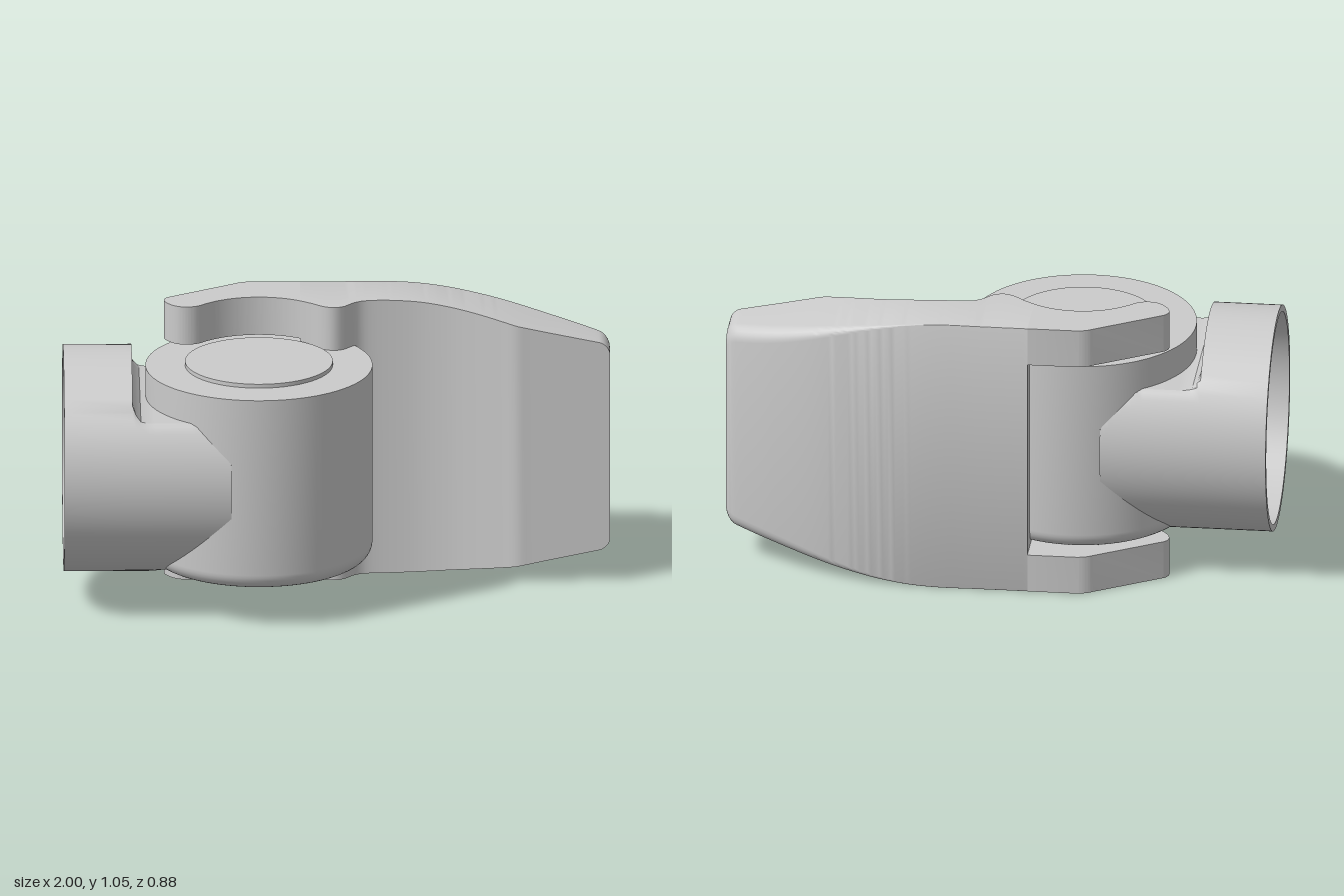
import * as THREE from 'three';
import { toCreasedNormals } from 'three/addons/utils/BufferGeometryUtils.js';

const AX = -0.285, AZ = 0.02; // hinge axis of the drum
const PIPE_Y = 0.53, MID_Y = 0.525;

// Skin between closed rings running along x, with both ends capped
function loft(rings) {
  const pos = [], n = rings[0].length;
  const tri = (...pts) => pts.forEach((p) => pos.push(p.x, p.y, p.z));
  for (let i = 0; i < rings.length - 1; i++) {
    for (let k = 0; k < n; k++) {
      const a = rings[i][k], b = rings[i][(k + 1) % n];
      const c = rings[i + 1][(k + 1) % n], d = rings[i + 1][k];
      tri(a, b, c);
      tri(a, c, d);
    }
  }
  const cap = (ring, flip) => {
    const c = new THREE.Vector3();
    ring.forEach((p) => c.addScaledVector(p, 1 / n));
    ring.forEach((p, k) => {
      const q = ring[(k + 1) % n];
      flip ? tri(c, q, p) : tri(c, p, q);
    });
  };
  cap(rings[0], true);
  cap(rings[rings.length - 1], false);
  const g = new THREE.BufferGeometry();
  g.setAttribute('position', new THREE.Float32BufferAttribute(pos, 3));
  return g;
}

// Smooth curve through points, read as a height over x
function curveOverX(points) {
  const pts = new THREE.SplineCurve(points.map((p) => new THREE.Vector2(...p))).getPoints(200);
  return (x) => {
    let i = 1;
    while (i < pts.length - 1 && pts[i].x < x) i++;
    const a = pts[i - 1], b = pts[i];
    const t = THREE.MathUtils.clamp((x - a.x) / (b.x - a.x || 1), 0, 1);
    return a.y + (b.y - a.y) * t;
  };
}

// Pipe ring, optionally flattened above and below
function pipeRing([x, r, lo = 0, hi = 2]) {
  return Array.from({ length: 96 }, (_, k) => {
    const a = (k / 96) * Math.PI * 2;
    const y = THREE.MathUtils.clamp(PIPE_Y + r * Math.cos(a), lo, hi);
    return new THREE.Vector3(x, y, AZ + r * Math.sin(a));
  });
}

function pipeGeometry() {
  const R = 0.415;
  const rows = [
    [-0.78, 0.39], [-1, 0.39], [-1, R], [-0.75, R], // socket and outer wall
    [-0.75, R, 0.115, 0.83], [-0.738, R, 0.115, 0.796], // step down to the neck
    [-0.72, R, 0.117, 0.776], [-0.69, R, 0.125, 0.77],
    [-0.67, R, 0.14, 0.77], [-0.64, R, 0.15, 0.77],
  ];
  for (let i = 0; i <= 12; i++) { // rounded end of the neck
    const a = (i / 12) * Math.PI / 2;
    rows.push([-0.54 + 0.15 * Math.sin(a), R, 0.15, 0.62 + 0.15 * Math.cos(a)]);
  }
  return loft(rows.map(pipeRing));
}

function drumGeometry() {
  const pts = [new THREE.Vector2(0, 0.15)];
  for (let i = 0; i <= 8; i++) {
    const a = (i / 8) * Math.PI / 2;
    pts.push(new THREE.Vector2(0.355 + 0.06 * Math.sin(a), 0.21 - 0.06 * Math.cos(a)));
  }
  pts.push(new THREE.Vector2(0.415, 0.885), new THREE.Vector2(0, 0.885));
  return new THREE.LatheGeometry(pts, 96);
}

// Lever blade: rounded sections that narrow towards the free end
function bladeGeometry() {
  const back = curveOverX([[-0.13, -0.445], [0.1, -0.445], [0.34, -0.445], [0.48, -0.435],
    [0.65, -0.405], [0.82, -0.35], [0.96, -0.285], [1, -0.25]]);
  const front = curveOverX([[-0.13, -0.219], [-0.09, -0.19], [-0.05, -0.155], [-0.01, -0.14],
    [0.03, -0.155], [0.07, -0.2], [0.13, -0.22], [0.28, -0.22], [0.4, -0.2], [0.5, -0.167],
    [0.6, -0.125], [0.66, -0.101], [0.72, -0.1], [1, -0.1]]);
  const half = curveOverX([[-0.13, 0.525], [0.05, 0.525], [0.2, 0.525], [0.35, 0.515],
    [0.55, 0.485], [0.8, 0.433], [0.96, 0.4], [1, 0.392]]);
  const xs = Array.from({ length: 75 }, (_, i) => -0.13 + (i / 74) * 1.09);
  for (let i = 1; i <= 8; i++) xs.push(0.96 + 0.04 * Math.sin((i / 8) * Math.PI / 2));
  return loft(xs.map((x) => {
    const e = Math.max(0, x - 0.96) / 0.04;
    const h = half(x) - 0.04 * (1 - Math.sqrt(Math.max(0, 1 - e * e)));
    const f = front(x), b = back(x);
    const r = 0.002 + 0.05 * THREE.MathUtils.smoothstep(x, 0.2, 0.9); // growing edge rounding
    const ring = [[h, f], [-h, f]];
    for (const s of [-1, 1]) {
      for (let i = 0; i <= 6; i++) {
        const a = ((s < 0 ? i : 6 - i) / 6) * Math.PI / 2;
        ring.push([s * (h - r + r * Math.cos(a)), b + r - r * Math.sin(a)]);
      }
    }
    return ring.map(([y, z]) => new THREE.Vector3(x, MID_Y + y, z));
  }));
}

// Fork arm: flat hook whose inner edge follows the cap
function armGeometry() {
  const s = new THREE.Shape();
  s.moveTo(-0.13, -0.445);
  s.lineTo(-0.31, -0.445);
  s.quadraticCurveTo(-0.345, -0.442, -0.37, -0.422);
  s.lineTo(-0.61, -0.272);
  s.bezierCurveTo(-0.64, -0.25, -0.63, -0.215, -0.61, -0.19);
  s.bezierCurveTo(-0.58, -0.145, -0.53, -0.145, -0.495, -0.173);
  const a0 = Math.atan2(-0.193, -0.21) + Math.PI * 2;
  s.absarc(AX, AZ, 0.285, a0, Math.PI * 2 + Math.atan2(-0.239, 0.155), false);
  s.closePath();
  const g = new THREE.ExtrudeGeometry(s, { depth: 0.145, bevelEnabled: false, curveSegments: 24 });
  return g.rotateX(Math.PI / 2);
}

export function createModel() {
  const model = new THREE.Group();
  const material = new THREE.MeshStandardMaterial({ color: 0xcccccc });
  const add = (name, geometry, x = 0, y = 0, z = 0) => {
    const mesh = new THREE.Mesh(toCreasedNormals(geometry, 0.5), material);
    mesh.name = name;
    mesh.position.set(x, y, z);
    model.add(mesh);
  };

  add('drum', drumGeometry(), AX, 0, AZ);
  add('topCap', new THREE.CylinderGeometry(0.27, 0.27, 0.03, 96), AX, 0.885, AZ);
  add('bottomBoss', new THREE.CylinderGeometry(0.12, 0.12, 0.03, 64), AX, 0.153, AZ);
  add('pipeSocket', pipeGeometry());
  add('leverBlade', bladeGeometry());
  add('lowerForkArm', armGeometry(), 0, 0.145, 0);
  add('upperForkArm', armGeometry(), 0, 1.05, 0);
  return model;
}
